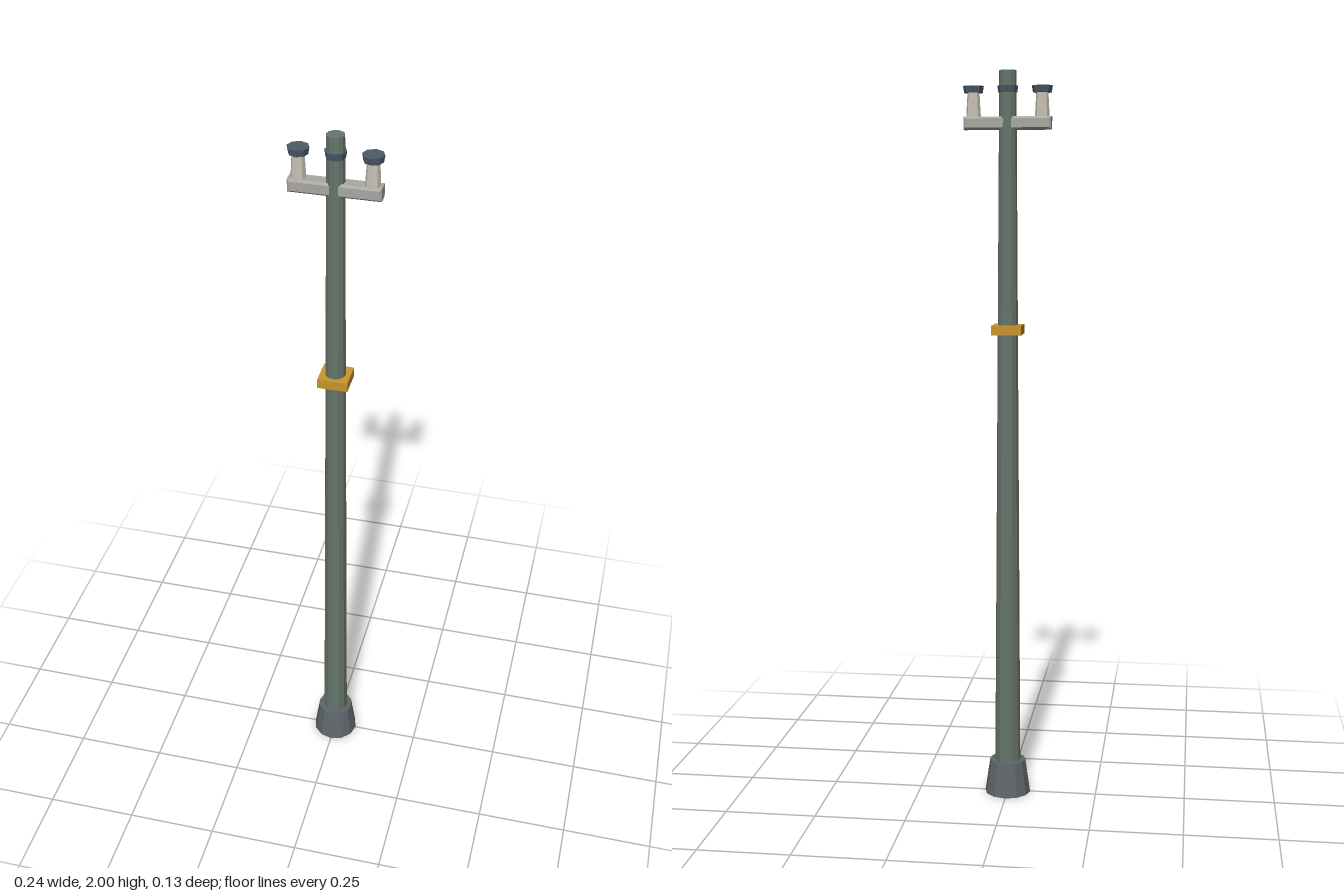
import * as THREE from 'three';

const paint = (color) => new THREE.MeshStandardMaterial({ color, flatShading: true });

export function createModel() {
  const model = new THREE.Group();
  const green = paint(0x66756a), stone = paint(0x5f666a), yellow = paint(0xc8962c);
  const steel = paint(0xa9a8a4), ceramic = paint(0xc9c2b4), blue = paint(0x4b5b69);

  const add = (name, geometry, material, x = 0, y = 0, z = 0) => {
    const mesh = new THREE.Mesh(geometry, material);
    mesh.name = name;
    mesh.position.set(x, y, z);
    model.add(mesh);
    return mesh;
  };
  // Faceted, tapered cylinder standing between two heights
  const post = (name, rTop, rBottom, y0, y1, sides, material, x = 0) =>
    add(name, new THREE.CylinderGeometry(rTop, rBottom, y1 - y0, sides), material, x, (y0 + y1) / 2);

  // Footing and tapered mast
  post('footing', 0.05, 0.064, 0, 0.095, 12, stone);
  post('mast', 0.023, 0.036, 0.05, 2, 12, green);

  // Square band around the mast
  add('band', new THREE.BoxGeometry(0.081, 0.026, 0.078), yellow, 0, 1.314, 0);

  // Crossarm with chamfered edges
  const w = 0.112, h = 0.012, b = 0.005;
  const outline = new THREE.Shape([[-w, -h], [w, -h], [w, h], [-w, h]].map(([x, y]) => new THREE.Vector2(x, y)));
  const arm = new THREE.ExtrudeGeometry(outline, {
    depth: 0.032, bevelEnabled: true, bevelSize: b, bevelThickness: b, bevelSegments: 1,
  });
  arm.translate(0, 0, -0.016);
  add('crossarm', arm, steel, 0, 1.863, 0);

  // Three insulators with flared caps; the middle one wraps the mast
  for (const x of [-0.092, 0, 0.092]) {
    post('insulator', 0.016, 0.02, 1.875, 1.945, 8, ceramic, x);
    post('insulatorCap', 0.028, 0.025, 1.942, 1.96, 8, blue, x);
  }
  return model;
}
